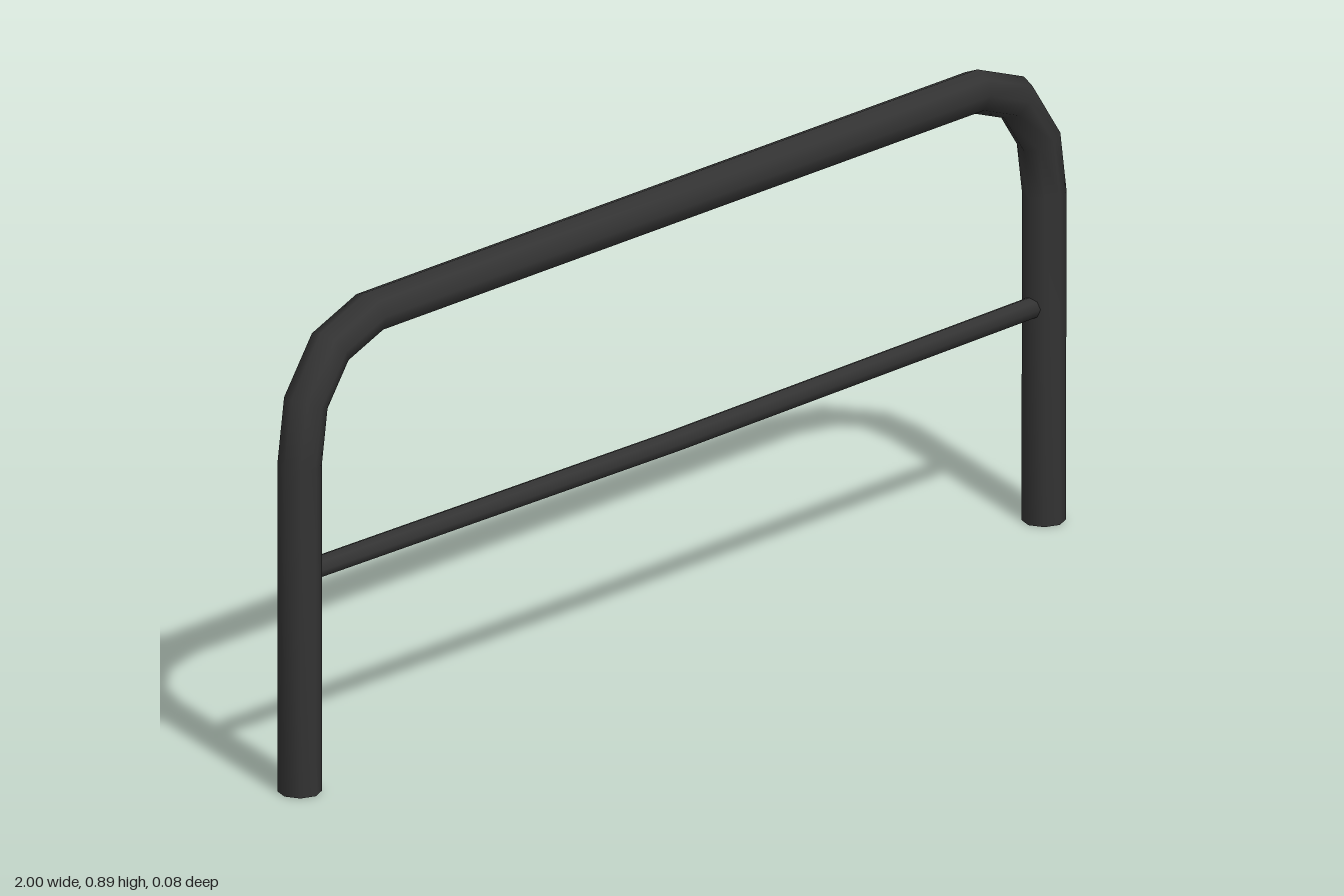
import * as THREE from 'three';

// Mitred, capped tube along a planar path of [x, y] points
function pipe(path, radius, sides) {
  const pts = path.map(([x, y]) => new THREE.Vector2(x, y));
  const pos = [], index = [];
  const last = pts.length - 1;
  pts.forEach((p, i) => {
    const a = pts[Math.min(i + 1, last)].clone().sub(pts[Math.min(i, last - 1)]).normalize();
    const b = pts[Math.max(i, 1)].clone().sub(pts[Math.max(i - 1, 0)]).normalize();
    const t = a.clone().add(b).normalize();
    const r = radius / t.dot(a); // widen across the mitre
    for (let k = 0; k < sides; k++) {
      const q = (k / sides) * Math.PI * 2;
      pos.push(p.x - t.y * r * Math.cos(q), p.y + t.x * r * Math.cos(q), radius * Math.sin(q));
    }
  });
  for (let i = 0; i < last; i++) {
    for (let k = 0; k < sides; k++) {
      const a = i * sides + k, b = i * sides + (k + 1) % sides;
      index.push(a, b, a + sides, b, b + sides, a + sides);
    }
  }
  // End caps use their own vertices so the rims stay sharp
  for (const end of [0, last]) {
    const base = pos.length / 3;
    pos.push(...pos.slice(end * sides * 3, (end + 1) * sides * 3));
    for (let k = 1; k < sides - 1; k++) {
      if (end === 0) index.push(base, base + k + 1, base + k);
      else index.push(base, base + k, base + k + 1);
    }
  }
  const g = new THREE.BufferGeometry();
  g.setAttribute('position', new THREE.Float32BufferAttribute(pos, 3));
  g.setIndex(index);
  g.computeVertexNormals();
  return g;
}

export function createModel() {
  const group = new THREE.Group();
  group.name = 'barrier';
  const material = new THREE.MeshStandardMaterial({ color: 0x333333 });

  // Hoop: two legs joined by a top rail through faceted bends
  const rightHalf = [[-0.961, 0], [-0.961, 0.61], [-0.945, 0.72], [-0.882, 0.808], [-0.78, 0.846]];
  const leftHalf = [[0.78, 0.846], [0.882, 0.808], [0.945, 0.715], [0.96, 0.61], [0.958, 0]];
  const hoop = new THREE.Mesh(pipe([...rightHalf, ...leftHalf], 0.039, 8), material);
  hoop.name = 'hoopFrame';
  group.add(hoop);

  // Thin cross bar, sagging slightly in the middle
  const bar = new THREE.Mesh(pipe([[-0.95, 0.406], [0, 0.398], [0.95, 0.404]], 0.02, 8), material);
  bar.name = 'crossBar';
  group.add(bar);

  return group;
}
